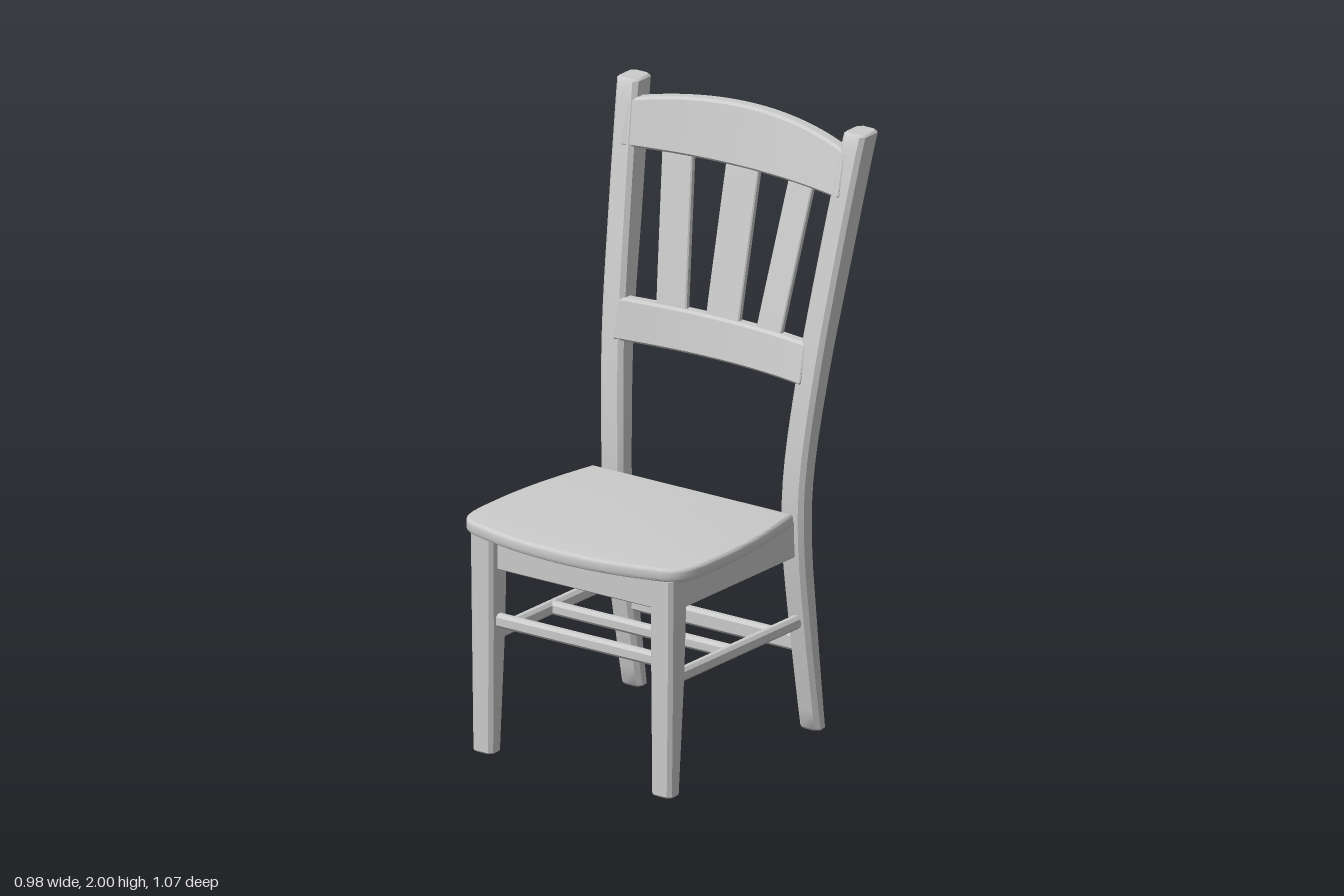
import * as THREE from 'three';
import { toCreasedNormals } from 'three/addons/utils/BufferGeometryUtils.js';

const material = new THREE.MeshStandardMaterial({ color: 0xcccccc });

// Maps (along, u, v) to x, y, z so that u × v points along the axis
const PLACE = {
  x: (s, u, v) => [s, u, v],
  y: (s, u, v) => [v, s, u],
  z: (s, u, v) => [u, v, s],
};

// Chamfered bar through stations [along, uCentre, vCentre, uSize, vSize]
function bar(axis, stations, chamfer = 0.012, warp = null) {
  const first = stations[0], last = stations[stations.length - 1];
  const shrink = (st) => [st[0], st[1], st[2], st[3] - chamfer, st[4] - chamfer];
  const nudge = (st, d) => [st[0] + d, ...st.slice(1)];
  const e = chamfer / 2;
  const rings = [shrink(first), nudge(first, e), ...stations.slice(1, -1), nudge(last, -e), shrink(last)];
  const positions = [], index = [];
  for (const [s, u, v, U, V] of rings) {
    const a = U / 2, b = V / 2, c = Math.min(chamfer, a * 0.8, b * 0.8);
    const ring = [[a, c - b], [a, b - c], [a - c, b], [c - a, b], [-a, b - c], [-a, c - b], [c - a, -b], [a - c, -b]];
    for (const [du, dv] of ring) {
      const p = PLACE[axis](s, u + du, v + dv);
      if (warp) warp(p);
      positions.push(...p);
    }
  }
  for (let i = 0; i < rings.length - 1; i++) {
    for (let j = 0; j < 8; j++) {
      const a = i * 8 + j, b = i * 8 + (j + 1) % 8;
      index.push(a, b, b + 8, a, b + 8, a + 8);
    }
  }
  const end = (rings.length - 1) * 8;
  for (let j = 1; j < 7; j++) {
    index.push(0, j + 1, j, end, end + j, end + j + 1);
  }
  const geometry = new THREE.BufferGeometry();
  geometry.setAttribute('position', new THREE.Float32BufferAttribute(positions, 3));
  geometry.setIndex(index);
  return toCreasedNormals(geometry, 0.6);
}

// Back post by height: z centre, x centre, depth, width
const postCurve = new THREE.CubicInterpolant(
  [0, 0.4, 0.65, 0.85, 1.2, 1.6, 2],
  [
    -0.36, 0.352, 0.052, 0.08,
    -0.3, 0.355, 0.066, 0.085,
    -0.272, 0.355, 0.07, 0.088,
    -0.272, 0.358, 0.072, 0.088,
    -0.314, 0.384, 0.08, 0.088,
    -0.398, 0.415, 0.092, 0.086,
    -0.488, 0.448, 0.094, 0.084,
  ], 4);
const post = (y) => Array.from(postCurve.evaluate(y));

// Bends flat back pieces to the bowed, reclined surface of the backrest
function bendBack(p) {
  const [z, halfWidth] = post(p[1]);
  p[2] += z + 0.03 - 0.06 * (1 - (p[0] / halfWidth) ** 2);
}

const steps = (n, from, to, fn) =>
  Array.from({ length: n + 1 }, (_, i) => fn(from + (to - from) * i / n));

export function createModel() {
  const chair = new THREE.Group();
  chair.name = 'chair';
  const add = (name, geometry) => {
    const mesh = new THREE.Mesh(geometry, material);
    mesh.name = name;
    chair.add(mesh);
  };

  // Seat: straight back, swelling sides, bowed front (shape y is -z)
  const shape = new THREE.Shape();
  shape.moveTo(-0.395, 0.195);
  shape.bezierCurveTo(-0.425, 0.05, -0.45, -0.08, -0.45, -0.25);
  shape.bezierCurveTo(-0.45, -0.4, -0.45, -0.45, -0.37, -0.478);
  shape.bezierCurveTo(-0.24, -0.518, -0.12, -0.535, 0, -0.535);
  shape.bezierCurveTo(0.12, -0.535, 0.24, -0.518, 0.37, -0.478);
  shape.bezierCurveTo(0.45, -0.45, 0.45, -0.4, 0.45, -0.25);
  shape.bezierCurveTo(0.45, -0.08, 0.425, 0.05, 0.395, 0.195);
  shape.closePath();
  const bevel = 0.012;
  const seat = new THREE.ExtrudeGeometry(shape, {
    depth: 0.045 - 2 * bevel, bevelThickness: bevel, bevelSize: bevel,
    bevelOffset: -bevel, bevelSegments: 3, curveSegments: 16,
  });
  seat.rotateX(-Math.PI / 2).translate(0, 0.735 + bevel, 0);
  add('seat', toCreasedNormals(seat, 0.6));

  for (const side of [1, -1]) {
    const label = side > 0 ? 'left' : 'right';

    // Legs
    add(label + 'BackPost', bar('y', steps(28, 0, 2, (y) => {
      const [z, x, depth, width] = post(y);
      return [y, z, side * x, depth, width];
    }), 0.014));
    add(label + 'FrontLeg', bar('y', [
      [0, 0.43, side * 0.353, 0.06, 0.078],
      [0.4, 0.419, side * 0.354, 0.084, 0.086],
      [0.74, 0.415, side * 0.355, 0.096, 0.09],
    ], 0.012));

    // Side apron and side stretcher
    add(label + 'Apron', bar('z', [
      [-0.26, side * 0.355, 0.675, 0.03, 0.125],
      [0.4, side * 0.355, 0.675, 0.03, 0.125],
    ], 0.004));
    add(label + 'Stretcher', bar('z', [
      [-0.3, side * 0.355, 0.385, 0.034, 0.045],
      [0.41, side * 0.355, 0.385, 0.034, 0.045],
    ], 0.01));
  }

  // Cross pieces: [name, half length, y, z, height, depth, chamfer]
  for (const [name, half, y, z, h, d, c] of [
    ['frontApron', 0.33, 0.68, 0.415, 0.12, 0.03, 0.004],
    ['backApron', 0.33, 0.68, -0.262, 0.12, 0.03, 0.004],
    ['frontStretcher', 0.33, 0.448, 0.42, 0.046, 0.034, 0.01],
    ['middleStretcher', 0.355, 0.385, 0.08, 0.044, 0.034, 0.01],
    ['backStretcher', 0.33, 0.3, -0.312, 0.06, 0.034, 0.01],
  ]) {
    add(name, bar('x', [[-half, y, z, h, d], [half, y, z, h, d]], c));
  }

  // Backrest rails
  add('crestRail', bar('x', steps(20, -0.43, 0.43, (x) => {
    const top = 1.94 + 0.045 * (1 - (x / 0.43) ** 2);
    return [x, (top + 1.79) / 2, 0, top - 1.79, 0.045];
  }), 0.008, bendBack));
  add('lowerRail', bar('x', steps(20, -0.37, 0.37, (x) => {
    const sag = 0.008 * (1 - (x / 0.37) ** 2);
    return [x, 1.252 - sag, 0, 0.136, 0.042];
  }), 0.008, bendBack));

  // Slats, the outer two fanning outward
  for (const [name, low, high, width] of [
    ['leftSlat', 0.192, 0.243, 0.108],
    ['centreSlat', 0, 0, 0.13],
    ['rightSlat', -0.192, -0.243, 0.108],
  ]) {
    add(name, bar('y', steps(8, 1.29, 1.82, (y) => {
      const x = low + (high - low) * (y - 1.31) / 0.48;
      return [y, 0, x, 0.022, width];
    }), 0.004, bendBack));
  }

  return chair;
}
